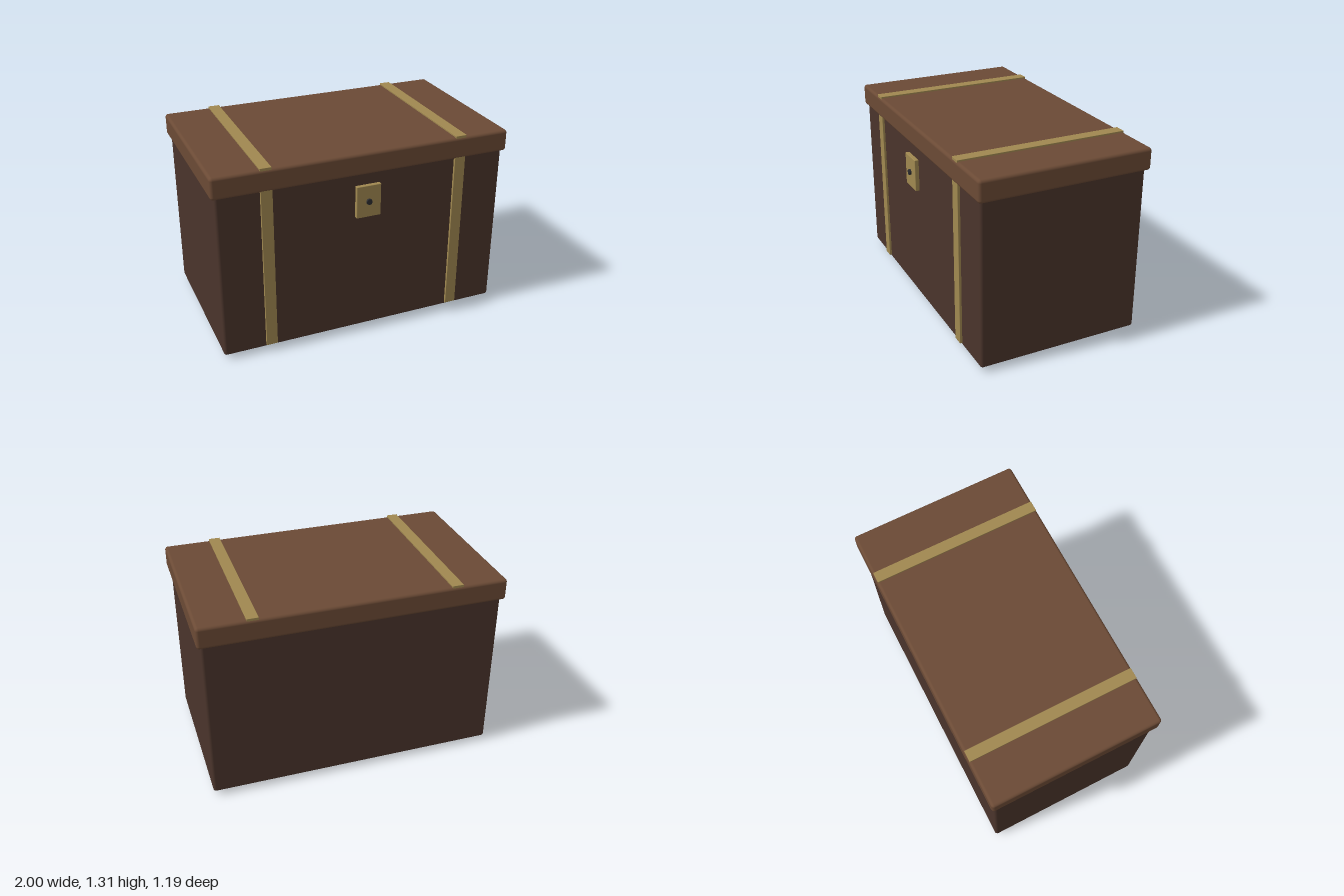
import * as THREE from 'three';
import { RoundedBoxGeometry } from 'three/addons/geometries/RoundedBoxGeometry.js';

const material = (color) => new THREE.MeshStandardMaterial({ color });

// Box given by its extents on each axis, with softly rounded edges
function block(name, [x0, x1], [y0, y1], [z0, z1], radius, mat) {
  const geometry = new RoundedBoxGeometry(x1 - x0, y1 - y0, z1 - z0, 3, radius);
  const mesh = new THREE.Mesh(geometry, mat);
  mesh.position.set((x0 + x1) / 2, (y0 + y1) / 2, (z0 + z1) / 2);
  mesh.name = name;
  return mesh;
}

export function createModel() {
  const chest = new THREE.Group();
  chest.name = 'chest';
  const darkWood = material(0x4a342b);
  const lidWood = material(0x6b4a35);
  const brass = material(0xa08850);
  const iron = material(0x2c2c30);

  // Body and overhanging lid
  chest.add(block('body', [-0.975, 0.975], [0.03, 1.17], [-0.57, 0.54], 0.018, darkWood));
  chest.add(block('lid', [-1, 1], [1.15, 1.295], [-0.595, 0.56], 0.02, lidWood));

  for (const [side, s] of [['left', 1], ['right', -1]]) {
    const span = (a, b) => (s > 0 ? [a, b] : [-b, -a]);

    // Brass straps on the front and over the lid
    chest.add(block(side + 'FrontStrap', span(0.62, 0.695), [0.05, 1.165], [0.535, 0.556], 0.002, brass));
    chest.add(block(side + 'LidStrap', span(0.62, 0.695), [1.285, 1.306], [-0.589, 0.555], 0.002, brass));

    // Low square feet
    chest.add(block(side + 'FrontFoot', span(0.695, 0.91), [0, 0.045], [0.27, 0.49], 0.006, darkWood));
    chest.add(block(side + 'BackFoot', span(0.695, 0.91), [0, 0.045], [-0.52, -0.3], 0.006, darkWood));
  }

  // Lock plate with a round keyhole stud through it
  chest.add(block('lockPlate', [-0.083, 0.083], [0.87, 1.087], [0.558, 0.587], 0.004, brass));
  const stud = new THREE.Mesh(new THREE.CylinderGeometry(0.019, 0.019, 0.07, 24), iron);
  stud.rotation.x = Math.PI / 2;
  stud.position.set(0, 0.978, 0.565);
  stud.name = 'keyholeStud';
  chest.add(stud);

  return chest;
}
